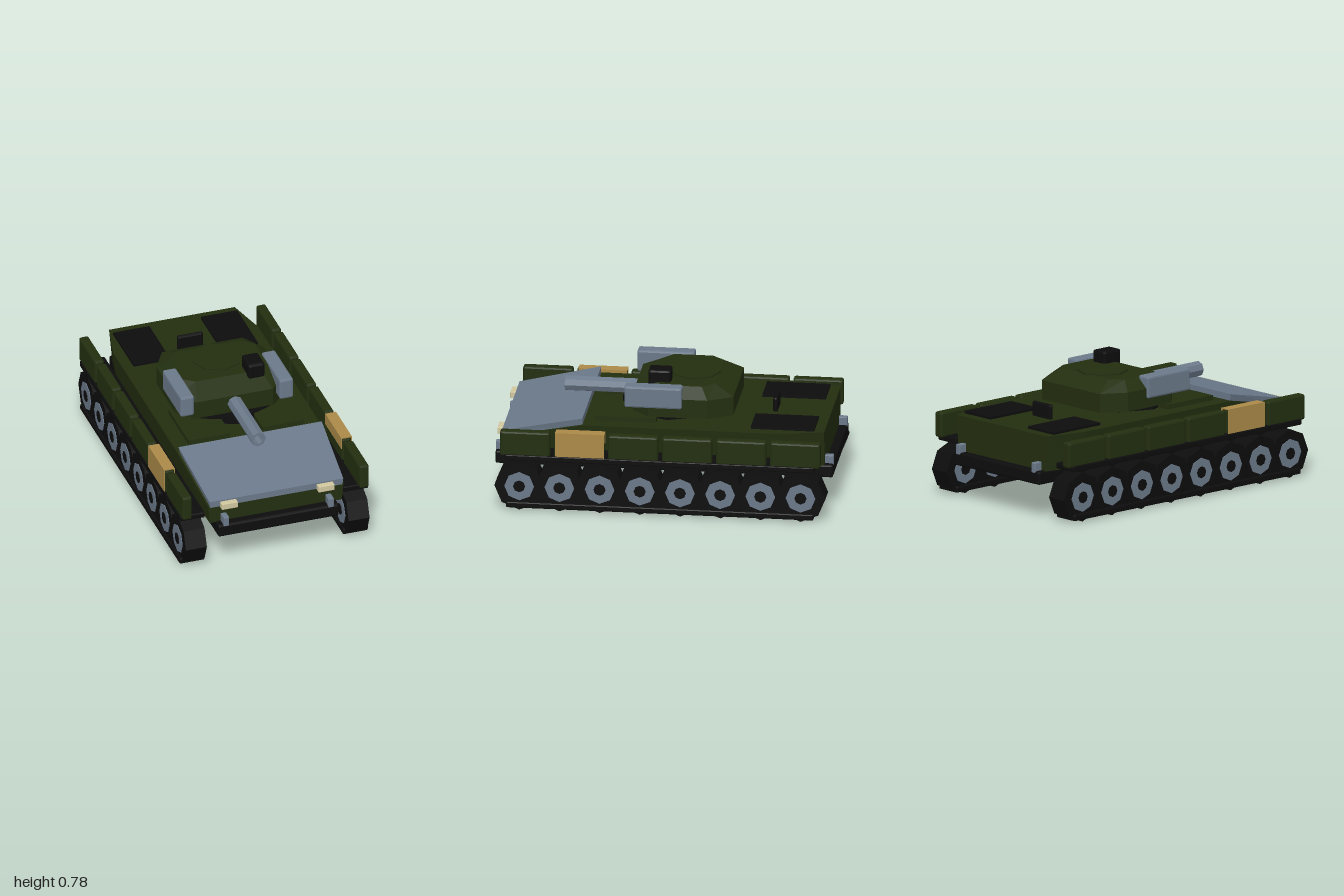
import * as THREE from 'three';
import { RoundedBoxGeometry } from 'three/addons/geometries/RoundedBoxGeometry.js';

const mat = (name, color) => {
  const m = new THREE.MeshStandardMaterial({ color });
  m.name = name;
  return m;
};

// Faceted copy of any geometry
const facet = (geo) => {
  const g = geo.index ? geo.toNonIndexed() : geo;
  g.computeVertexNormals();
  return g;
};

// Closed solid through rings of points; rings run counter-clockwise seen from the last ring's side
function loft(rings) {
  const p = [];
  const tri = (a, b, c) => p.push(...a, ...b, ...c);
  const n = rings[0].length;
  for (let r = 0; r < rings.length - 1; r++) {
    const a = rings[r], b = rings[r + 1];
    for (let i = 0; i < n; i++) {
      const j = (i + 1) % n;
      tri(a[i], a[j], b[j]);
      tri(a[i], b[j], b[i]);
    }
  }
  const first = rings[0], last = rings[rings.length - 1];
  for (let i = 1; i < n - 1; i++) {
    tri(first[0], first[i + 1], first[i]);
    tri(last[0], last[i], last[i + 1]);
  }
  const g = new THREE.BufferGeometry();
  g.setAttribute('position', new THREE.Float32BufferAttribute(p, 3));
  g.computeVertexNormals();
  return g;
}

export function createModel() {
  const model = new THREE.Group();
  model.name = 'tank';
  const green = mat('dark green', 0x232f10);
  const black = mat('black', 0x0d0d0d);
  const steel = mat('blue grey', 0x6b798a);
  const tan = mat('tan', 0xab8a48);
  const cream = mat('cream', 0xd2c8a0);

  const add = (name, geo, material, x = 0, y = 0, z = 0, parent = model) => {
    const m = new THREE.Mesh(geo, material);
    m.name = name;
    m.position.set(x, y, z);
    parent.add(m);
    return m;
  };
  // Boxes given by their limits, optionally with chamfered edges
  const box = (name, material, x0, x1, y0, y1, z0, z1, chamfer = 0, parent = model) => {
    const s = [x1 - x0, y1 - y0, z1 - z0];
    const g = chamfer ? facet(new RoundedBoxGeometry(...s, 1, chamfer)) : new THREE.BoxGeometry(...s);
    return add(name, g, material, (x0 + x1) / 2, (y0 + y1) / 2, (z0 + z1) / 2, parent);
  };
  // Mirrored pair of boxes
  const pair = (name, material, x0, x1, ...rest) => {
    box(name + 'Left', material, x0, x1, ...rest);
    box(name + 'Right', material, -x1, -x0, ...rest);
  };

  // Hull
  const section = (z, wBottom, wTop, y0, y1) =>
    [[-wBottom, y0, z], [wBottom, y0, z], [wTop, y1, z], [-wTop, y1, z]];
  box('lowerHull', black, -0.375, 0.375, 0.21, 0.29, -1, 1, 0.012);
  add('upperHull', loft([
    section(-0.95, 0.37, 0.39, 0.285, 0.5),
    section(-0.7, 0.425, 0.45, 0.285, 0.5),
    section(0.475, 0.425, 0.45, 0.285, 0.5),
    section(0.945, 0.41, 0.42, 0.285, 0.4),
  ]), green);
  add('frontArmourPlate', loft([
    section(0.475, 0.435, 0.445, 0.49, 0.54),
    section(0.955, 0.41, 0.415, 0.395, 0.435),
  ]), steel);
  pair('headlight', cream, 0.25, 0.35, 0.387, 0.427, 0.95, 0.99, 0.004);
  pair('frontTowHook', steel, 0.307, 0.343, 0.275, 0.34, 0.93, 1, 0.006);
  pair('rearTowHook', steel, 0.307, 0.343, 0.275, 0.34, -1, -0.93, 0.006);

  // Deck fittings
  pair('engineGrille', black, 0.16, 0.385, 0.495, 0.515, -0.89, -0.515);
  box('deckHandle', black, -0.08, 0.08, 0.49, 0.588, -0.635, -0.608, 0.012);
  pair('deckHatch', green, 0.1, 0.36, 0.495, 0.53, 0.05, 0.41);

  // Fenders and side skirts
  pair('fender', black, 0.43, 0.585, 0.31, 0.345, -0.915, 0.915, 0.006);
  for (let i = 0; i < 6; i++) {
    const z = -0.8 + i * 0.32;
    pair('skirt' + i, green, 0.52, 0.579, 0.335, 0.489, z - 0.148, z + 0.148, 0.012);
  }
  // Canvas covers folded over one skirt on each side
  pair('coverOuter', tan, 0.578, 0.583, 0.346, 0.492, 0.33, 0.62);
  pair('coverTop', tan, 0.516, 0.583, 0.488, 0.493, 0.33, 0.62);
  pair('coverInner', tan, 0.516, 0.521, 0.42, 0.492, 0.33, 0.62);

  // Running gear
  const disc = (r, w) => facet(new THREE.CylinderGeometry(r, r, w, 8).rotateZ(Math.PI / 2));
  const tyre = disc(0.147, 0.13), rim = disc(0.088, 0.138), hub = disc(0.036, 0.144);
  for (const side of [1, -1]) {
    const gear = new THREE.Group();
    gear.name = side > 0 ? 'leftTrack' : 'rightTrack';
    model.add(gear);
    for (let i = 0; i < 8; i++) {
      const z = 0.833 - i * 0.238;
      add('wheelTyre', tyre, black, side * 0.505, 0.147, z, gear);
      add('wheelRim', rim, steel, side * 0.505, 0.147, z, gear);
      add('wheelHub', hub, black, side * 0.505, 0.147, z, gear);
    }
    const c = side * 0.507;
    box('trackRail', black, c - 0.078, c + 0.078, 0.014, 0.052, -0.91, 0.91, 0.008, gear);
  }

  // Turret
  const outline = (y, pts) => [
    ...pts.map(([x, z]) => [x, y, z]),
    ...pts.slice().reverse().map(([x, z]) => [-x, y, z]),
  ];
  const wide = [[0.235, 0.2], [0.335, 0.1], [0.335, -0.25], [0.25, -0.395]];
  const roof = [[0.2, 0.07], [0.265, 0.02], [0.265, -0.21], [0.2, -0.28]];
  add('turretRing', facet(new THREE.CylinderGeometry(0.3, 0.3, 0.05, 8)), black, 0, 0.51, -0.01);
  add('turret', loft([outline(0.53, wide), outline(0.645, wide), outline(0.705, roof)]), green);
  add('turretHatch', facet(new THREE.CylinderGeometry(0.15, 0.15, 0.02, 8)), green, 0, 0.703, -0.14);
  pair('sidePod', steel, 0.265, 0.35, 0.585, 0.717, -0.1, 0.24, 0.012);
  box('sight', black, 0.113, 0.216, 0.68, 0.777, -0.02, 0.115, 0.014);

  // Hollow gun barrel
  const ringPath = (r) => Array.from({ length: 8 }, (_, i) =>
    new THREE.Vector2(r * Math.cos(i * Math.PI / 4), r * Math.sin(i * Math.PI / 4)));
  const tube = new THREE.Shape(ringPath(0.046));
  tube.holes.push(new THREE.Path(ringPath(0.031).reverse()));
  add('gunBarrel', facet(new THREE.ExtrudeGeometry(tube, { depth: 0.45, bevelEnabled: false })),
    steel, 0, 0.595, 0.18);

  return model;
}
